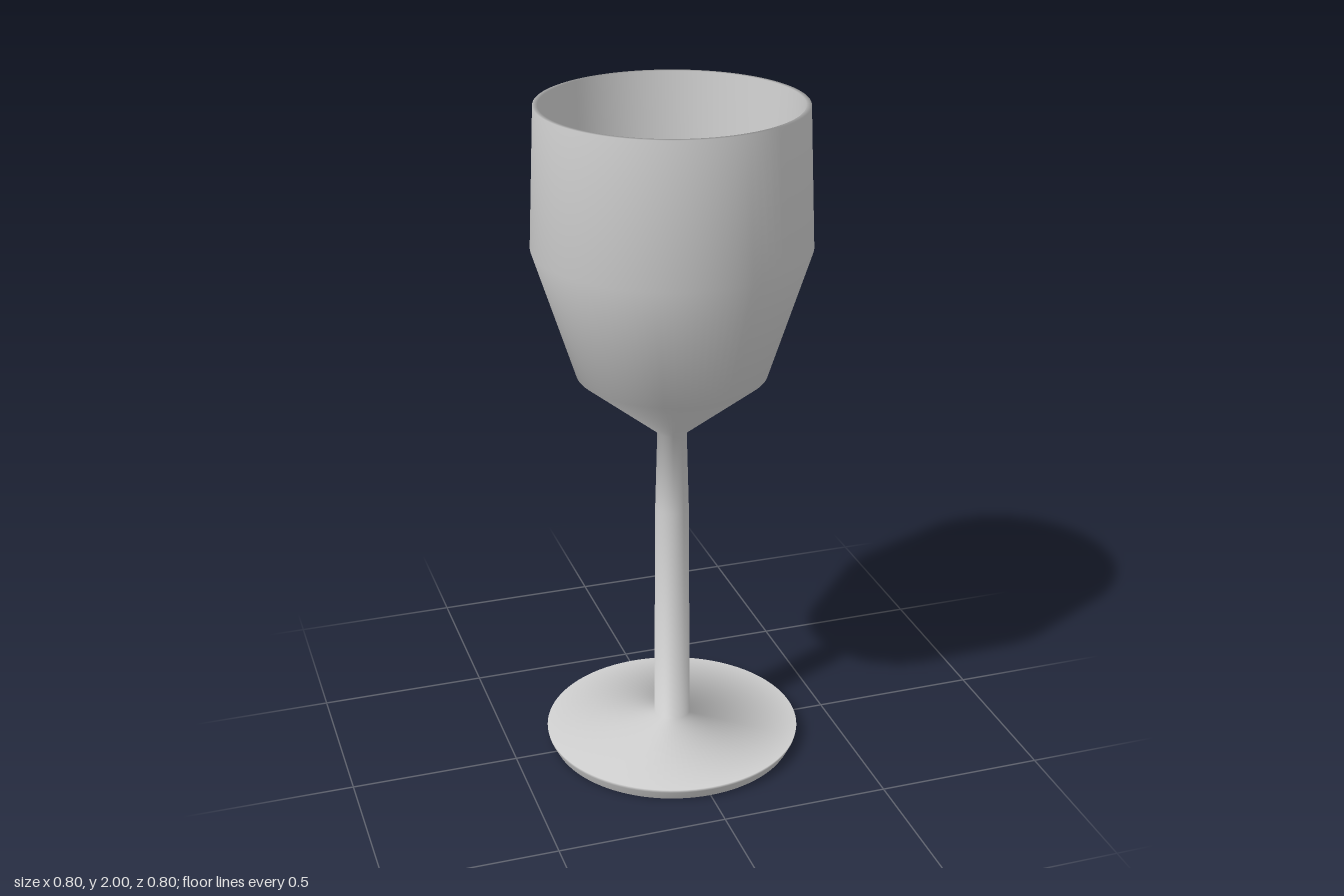
import * as THREE from 'three';

const SIDES = 96;

// Turned part: profile of [radius, height] pairs, running up the outside
function turned(name, profile, material) {
  const points = profile.map(([r, y]) => new THREE.Vector2(r, y));
  const mesh = new THREE.Mesh(new THREE.LatheGeometry(points, SIDES), material);
  mesh.name = name;
  return mesh;
}

export function createModel() {
  const glass = new THREE.MeshStandardMaterial({ color: 0xd0d0d0 });
  glass.name = 'pale grey glass';
  const red = new THREE.MeshStandardMaterial({ color: 0x620e26 });
  red.name = 'dark red wine';

  const goblet = new THREE.Group();
  goblet.name = 'goblet';

  // Flat underside of the foot
  goblet.add(turned('footUnderside', [[0, 0], [0.37, 0]], glass));

  // Foot, stem and bowl in one smooth sweep, over the rim and down inside
  goblet.add(turned('footStemAndBowl', [
    [0.37, 0], [0.385, 0.03], [0.387, 0.04], // foot edge
    [0.055, 0.078],                          // foot top
    [0.05, 0.78], [0.043, 1.025],            // stem
    [0.277, 1.215], [0.398, 1.595],          // bowl outside
    [0.38, 2], [0.366, 2],                   // rim
    [0.356, 1.6], [0.34, 1.5],               // bowl inside
    [0.25, 1.23], [0, 1.05],
  ], glass));

  // Wine filling the lower bowl
  goblet.add(turned('wine', [
    [0, 1.06], [0.245, 1.235], [0.34, 1.505], [0, 1.505],
  ], red));

  return goblet;
}
